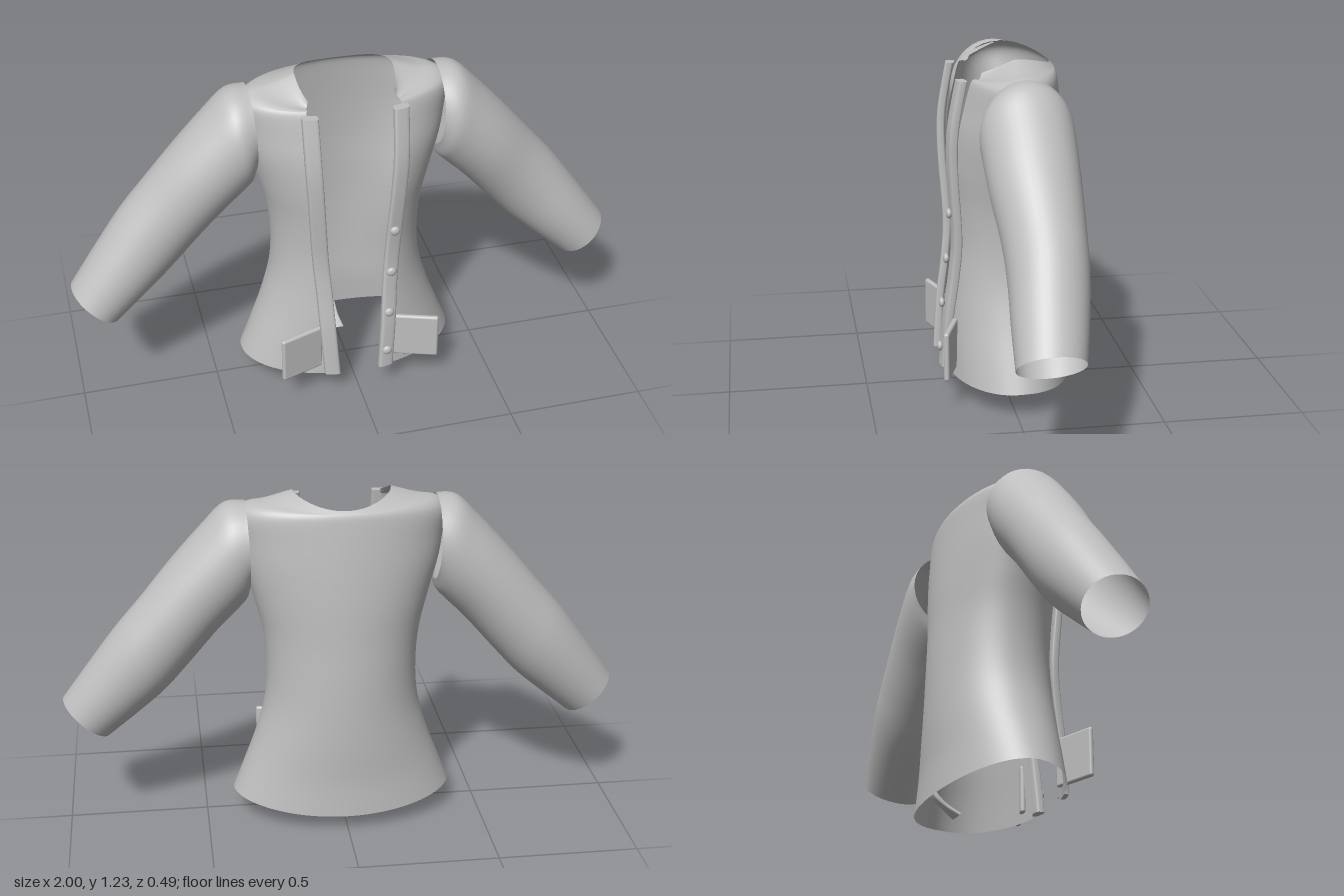
import * as THREE from 'three';
import { RoundedBoxGeometry } from 'three/addons/geometries/RoundedBoxGeometry.js';

// Smoothly interpolate a table of section rows at t in 0..1
function rowAt(rows, t) {
  const f = t * (rows.length - 1);
  const i = Math.min(Math.floor(f), rows.length - 2);
  const k = f - i;
  const p = rows[Math.max(i - 1, 0)], a = rows[i], b = rows[i + 1];
  const q = rows[Math.min(i + 2, rows.length - 1)];
  return a.map((v, c) => {
    const m0 = (b[c] - p[c]) / 2, m1 = (q[c] - v) / 2;
    const k2 = k * k, k3 = k2 * k;
    return (2 * k3 - 3 * k2 + 1) * v + (k3 - 2 * k2 + k) * m0 +
      (3 * k2 - 2 * k3) * b[c] + (k3 - k2) * m1;
  });
}

// Surface from cross-sections: point(u, v) gives [x, y, z]
function loft(point, nu, nv, closed, capped = false) {
  const pos = [], index = [];
  const cols = closed ? nu : nu + 1;
  for (let j = 0; j <= nv; j++)
    for (let i = 0; i < cols; i++) pos.push(...point(i / nu, j / nv));
  for (let j = 0; j < nv; j++)
    for (let i = 0; i < nu; i++) {
      const a = j * cols + i, b = j * cols + (i + 1) % cols;
      index.push(a, b, b + cols, a, b + cols, a + cols);
    }
  if (capped)
    for (const v of [0, 1]) {
      const start = pos.length / 3;
      for (let i = 0; i < nu; i++) pos.push(...point(i / nu, v));
      for (let i = 1; i < nu - 1; i++)
        index.push(start, start + i + (v ? 0 : 1), start + i + (v ? 1 : 0));
    }
  const g = new THREE.BufferGeometry();
  g.setAttribute('position', new THREE.Float32BufferAttribute(pos, 3));
  g.setIndex(index);
  g.computeVertexNormals();
  return g;
}

// Rounded-rectangle outline, -1..1
function squircle(u) {
  const c = Math.cos(u * Math.PI * 2), s = Math.sin(u * Math.PI * 2);
  return [Math.sign(c) * Math.abs(c) ** 0.5, Math.sign(s) * Math.abs(s) ** 0.5];
}

// Body: y, half width, opening half width, opening z, back z, front drop, back drop
const BODY = [
  [0.10, 0.40, 0.10, 0.205, -0.24, 0.015, 0.035],
  [0.20, 0.36, 0.105, 0.20, -0.235, 0.005, 0.01],
  [0.32, 0.315, 0.11, 0.19, -0.238, 0, 0],
  [0.45, 0.28, 0.12, 0.175, -0.238, 0, 0],
  [0.58, 0.27, 0.13, 0.163, -0.235, 0, 0],
  [0.72, 0.28, 0.14, 0.166, -0.228, 0, 0],
  [0.85, 0.31, 0.147, 0.175, -0.222, 0, 0],
  [0.98, 0.345, 0.155, 0.17, -0.211, 0, 0],
  [1.08, 0.36, 0.16, 0.15, -0.20, 0, 0],
  [1.16, 0.37, 0.165, 0.13, -0.19, 0, 0],
  [1.20, 0.335, 0.16, 0.115, -0.184, 0.03, 0.015],
  [1.215, 0.26, 0.162, 0.105, -0.178, 0.055, 0.022],
  [1.24, 0.172, 0.152, 0.09, -0.17, 0.10, 0.04],
];

// Sleeve: top x, y, underside x, y, front z, back z
const SLEEVE = [
  [0.335, 1.205, 0.325, 0.90, 0.11, -0.18],
  [0.41, 1.197, 0.335, 0.86, 0.13, -0.188],
  [0.49, 1.12, 0.365, 0.825, 0.128, -0.19],
  [0.60, 1.00, 0.44, 0.75, 0.118, -0.187],
  [0.71, 0.87, 0.545, 0.63, 0.098, -0.182],
  [0.80, 0.765, 0.635, 0.53, 0.093, -0.175],
  [0.90, 0.63, 0.735, 0.44, 0.098, -0.155],
  [1.00, 0.49, 0.84, 0.35, 0.10, -0.128],
];

// Front placket: y, x, z
const PLACKET = [
  [1.17, 0.158, 0.16], [1.0, 0.155, 0.19], [0.85, 0.147, 0.193], [0.6, 0.132, 0.178],
  [0.45, 0.121, 0.188], [0.3, 0.113, 0.208], [0.105, 0.101, 0.222],
];

// Tail tab: y, z, half width, half thickness
const TAIL = [
  [0.105, -0.232, 0.008, 0.005], [0.07, -0.215, 0.014, 0.01],
  [0.04, -0.18, 0.018, 0.008], [0.012, -0.135, 0.03, 0.007],
];

export function createModel() {
  const jacket = new THREE.Group();
  jacket.name = 'jacket';
  const cloth = new THREE.MeshStandardMaterial({ color: 0xbfbfbf, side: THREE.DoubleSide });
  cloth.name = 'grey cloth';
  const add = (name, geometry) => {
    const mesh = new THREE.Mesh(geometry, cloth);
    mesh.name = name;
    jacket.add(mesh);
    return mesh;
  };

  // Open shell running from one front edge around the back to the other
  add('body', loft((u, v) => {
    const [y, w, xe, ze, zb, dropF, dropB] = rowAt(BODY, v);
    const zc = -0.02;
    const edge = Math.asin(xe / w);
    const a = edge + u * (Math.PI * 2 - 2 * edge);
    const c = Math.cos(a);
    const depth = c > 0 ? (ze - zc) / Math.cos(edge) : zc - zb;
    const drop = c > 0 ? dropF * c : dropB * c * c;
    return [w * Math.sin(a), y - drop, zc + depth * c];
  }, 72, 60, false));

  for (const side of [1, -1]) {
    const label = side > 0 ? 'left' : 'right';

    // Sleeve, open at both ends
    add(label + 'Sleeve', loft((u, v) => {
      const [tx, ty, bx, by, zf, zb] = rowAt(SLEEVE, v);
      const c = Math.cos(u * Math.PI * 2) / 2, s = Math.sin(u * Math.PI * 2) / 2;
      return [
        side * ((tx + bx) / 2 + (tx - bx) * c),
        (ty + by) / 2 + (ty - by) * c,
        (zf + zb) / 2 + (zf - zb) * s,
      ];
    }, 40, 42, true));

    // Thick band along the front edge
    add(label + 'Placket', loft((u, v) => {
      const [y, x, z] = rowAt(PLACKET, v);
      const [p, q] = squircle(u);
      return [side * (x + p * 0.028) - 0.003, y, z + q * 0.016 - p * 0.005];
    }, 24, 36, true, true));

    // Pocket plate, its outer edge standing away from the body
    const pocket = add(label + 'Pocket', new RoundedBoxGeometry(0.167, 0.18, 0.02, 4, 0.009));
    pocket.position.set(side * 0.215, 0.21, 0.212);
    pocket.rotation.y = -side * 0.33;
  }

  // Buttons on the left placket
  for (const [x, y, z] of [[0.13, 0.69, 0.204], [0.117, 0.52, 0.214], [0.107, 0.35, 0.23], [0.1, 0.18, 0.238]]) {
    const button = add('button', new THREE.SphereGeometry(0.018, 20, 14));
    button.scale.z = 0.6;
    button.position.set(x, y, z);
  }

  // Small tab under the back hem
  add('tailTab', loft((u, v) => {
    const [y, z, w, d] = rowAt(TAIL, v);
    const [p, q] = squircle(u);
    return [p * w, y + q * d * 0.8, z + q * d * 0.6];
  }, 16, 16, true, true));

  return jacket;
}
